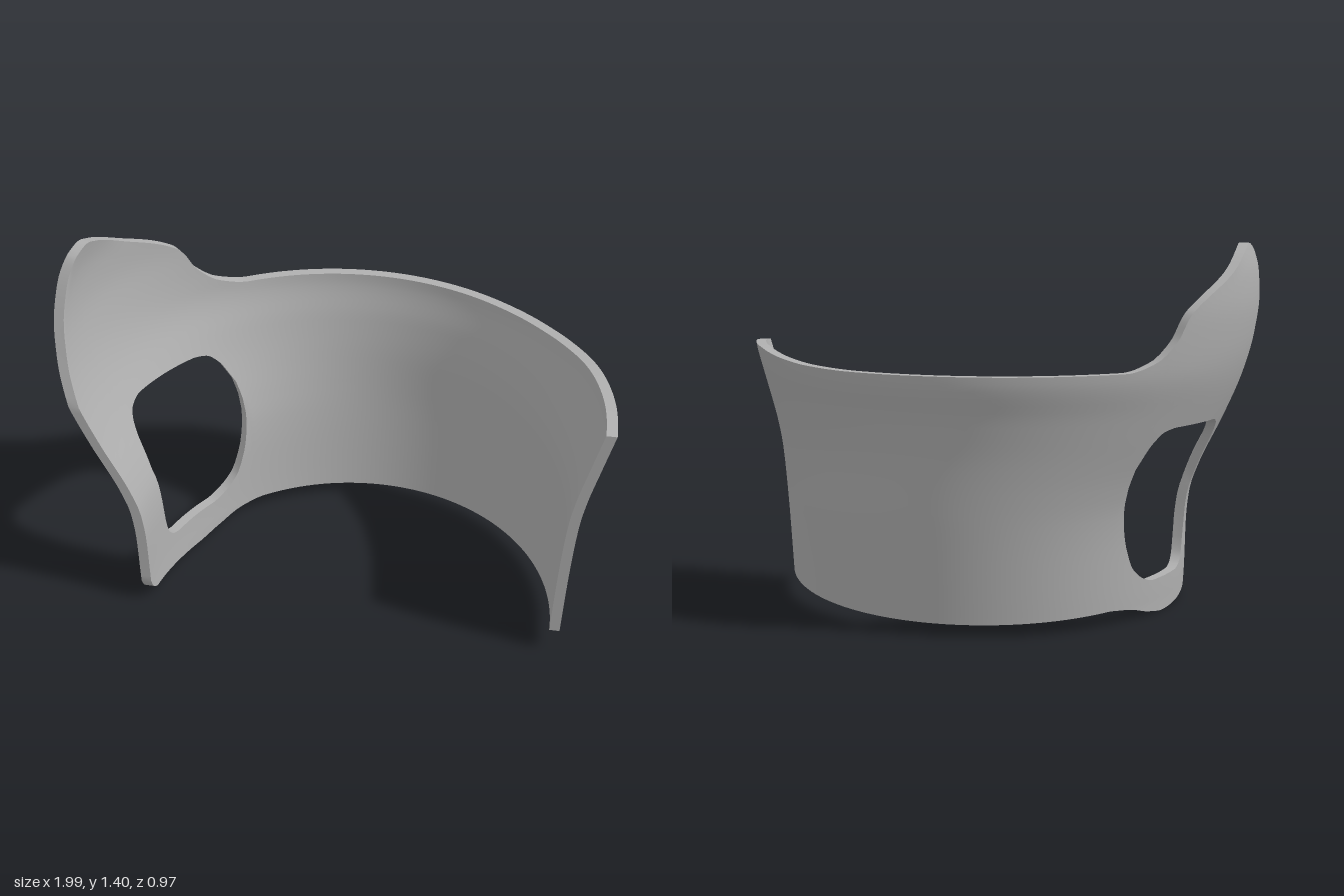
import * as THREE from 'three';
import { toCreasedNormals } from 'three/addons/utils/BufferGeometryUtils.js';

const FRONT_Z = 0.49;
const WALL = 0.038;

// Smooth monotone curve through [t, value] points, constant past the ends
function curve(points) {
  const n = points.length;
  const slope = points.slice(1).map((p, i) => (p[1] - points[i][1]) / (p[0] - points[i][0]));
  const tangent = points.map((_, i) => {
    if (i === 0) return slope[0];
    if (i === n - 1) return slope[n - 2];
    const a = slope[i - 1], b = slope[i];
    return a * b <= 0 ? 0 : (2 * a * b) / (a + b);
  });
  return (t) => {
    if (t <= points[0][0]) return points[0][1];
    if (t >= points[n - 1][0]) return points[n - 1][1];
    let i = 0;
    while (t > points[i + 1][0]) i++;
    const h = points[i + 1][0] - points[i][0];
    const u = (t - points[i][0]) / h, v = 1 - u;
    return points[i][1] * v * v * (1 + 2 * u) + points[i + 1][1] * u * u * (1 + 2 * v)
      + h * u * v * (tangent[i] * v - tangent[i + 1] * u);
  };
}

// Outer reach of the shell by height: right end, left end and back
const rightX = curve([[0, -0.715], [0.1, -0.72], [0.3, -0.725], [0.42, -0.738], [0.52, -0.77], [0.73, -0.87],
  [0.9, -0.94], [1.05, -0.98], [1.2, -0.998], [1.3, -0.995], [1.42, -0.97]]);
const leftX = curve([[0.05, 0.862], [0.4, 0.882], [0.6, 0.9], [0.7, 0.918], [0.85, 0.957], [1, 0.998]]);
const depth = curve([[0.05, 0.845], [0.4, 0.882], [0.645, 0.91], [0.8, 0.938], [0.97, 0.975], [1.2, 0.975]]);

// Outlines by angle in degrees, from the right end (0) round the back to the left end (180)
const topEdge = curve([[0, 0.88], [2.4, 1.0], [10.1, 1.33], [12.5, 1.385], [16.2, 1.405], [19.2, 1.39], [30.3, 1.3],
  [44, 1.18], [45.6, 1.15], [47.9, 1.075], [53, 1.0], [60, 0.97], [120, 0.97], [134, 0.975], [143, 0.985],
  [160, 1.008], [170, 1.01], [180, 1.0]]);
const tabEdge = curve([[0, 0.1], [1.4, 0.06], [4.8, 0.03], [27.5, 0.004], [35.5, 0.02], [44, 0.05], [51, 0.061]]);
const bottomEdge = (a) => (a < 51 ? tabEdge(a) : 0.1 - 0.05 * Math.sin(THREE.MathUtils.degToRad(a)));

// Side opening
const HOLE_START = 12.5, HOLE_END = 49;
const holeTop = curve([[HOLE_START, 0.5], [14, 0.62], [16, 0.69], [18, 0.72], [22, 0.74], [40, 0.745],
  [44, 0.735], [47, 0.69], [HOLE_END, 0.6]]);
const holeBottom = curve([[HOLE_START, 0.38], [13, 0.25], [14.5, 0.18], [17, 0.15], [20, 0.14], [34, 0.14],
  [38, 0.155], [43, 0.205], [46, 0.3], [48.5, 0.47], [HOLE_END, 0.53]]);

function shellPoint(angle, y, inset) {
  const a = THREE.MathUtils.degToRad(angle);
  const centre = (leftX(y) + rightX(y)) / 2;
  const half = (leftX(y) - rightX(y)) / 2 - inset;
  return [centre - half * Math.cos(a), y, FRONT_Z - (depth(y) - inset) * Math.sin(a)];
}

function shellGeometry() {
  // Columns, with exact ones at both ends of the opening
  const angles = [0];
  for (const [from, to, count] of [[0, HOLE_START, 18], [HOLE_START, HOLE_END, 72], [HOLE_END, 180, 88]]) {
    for (let i = 1; i <= count; i++) angles.push(from + ((to - from) * i) / count);
  }
  // Rows run below, beside and above the opening
  const bands = [12, 3, 14];
  const rowsTotal = bands[0] + bands[1] + bands[2];
  const grid = (inset) => angles.map((a) => {
    const levels = [bottomEdge(a), holeBottom(a), holeTop(a), topEdge(a)];
    const column = [shellPoint(a, levels[0], inset)];
    bands.forEach((count, b) => {
      for (let i = 1; i <= count; i++) {
        column.push(shellPoint(a, levels[b] + ((levels[b + 1] - levels[b]) * i) / count, inset));
      }
    });
    return column;
  });
  const outer = grid(0), inner = grid(WALL);

  const solid = (i, j) => {
    if (i < 0 || j < 0 || i >= angles.length - 1 || j >= rowsTotal) return false;
    const middle = (angles[i] + angles[i + 1]) / 2;
    const inHole = middle > HOLE_START && middle < HOLE_END && j >= bands[0] && j < bands[0] + bands[1];
    return !inHole;
  };

  const positions = [];
  const quad = (p, q, r, s) => positions.push(...p, ...q, ...r, ...p, ...r, ...s);
  for (let i = 0; i < angles.length - 1; i++) {
    for (let j = 0; j < rowsTotal; j++) {
      if (!solid(i, j)) continue;
      const corners = [[i, j], [i + 1, j], [i + 1, j + 1], [i, j + 1]];
      const ins = corners.map(([c, r]) => inner[c][r]);
      const outs = corners.map(([c, r]) => outer[c][r]);
      quad(...ins);
      quad(outs[3], outs[2], outs[1], outs[0]);
      // Rim walls wherever the shell stops
      [[0, -1], [1, 0], [0, 1], [-1, 0]].forEach(([di, dj], k) => {
        const n = (k + 1) % 4;
        if (!solid(i + di, j + dj)) quad(ins[n], ins[k], outs[k], outs[n]);
      });
    }
  }
  const geometry = new THREE.BufferGeometry();
  geometry.setAttribute('position', new THREE.Float32BufferAttribute(positions, 3));
  return toCreasedNormals(geometry, 0.7);
}

export function createModel() {
  const group = new THREE.Group();
  group.name = 'curvedCuff';
  const grey = new THREE.MeshStandardMaterial({ color: 0xb0b0b0 });
  grey.name = 'plain grey';
  const shell = new THREE.Mesh(shellGeometry(), grey);
  shell.name = 'cuffShell';
  group.add(shell);
  return group;
}
